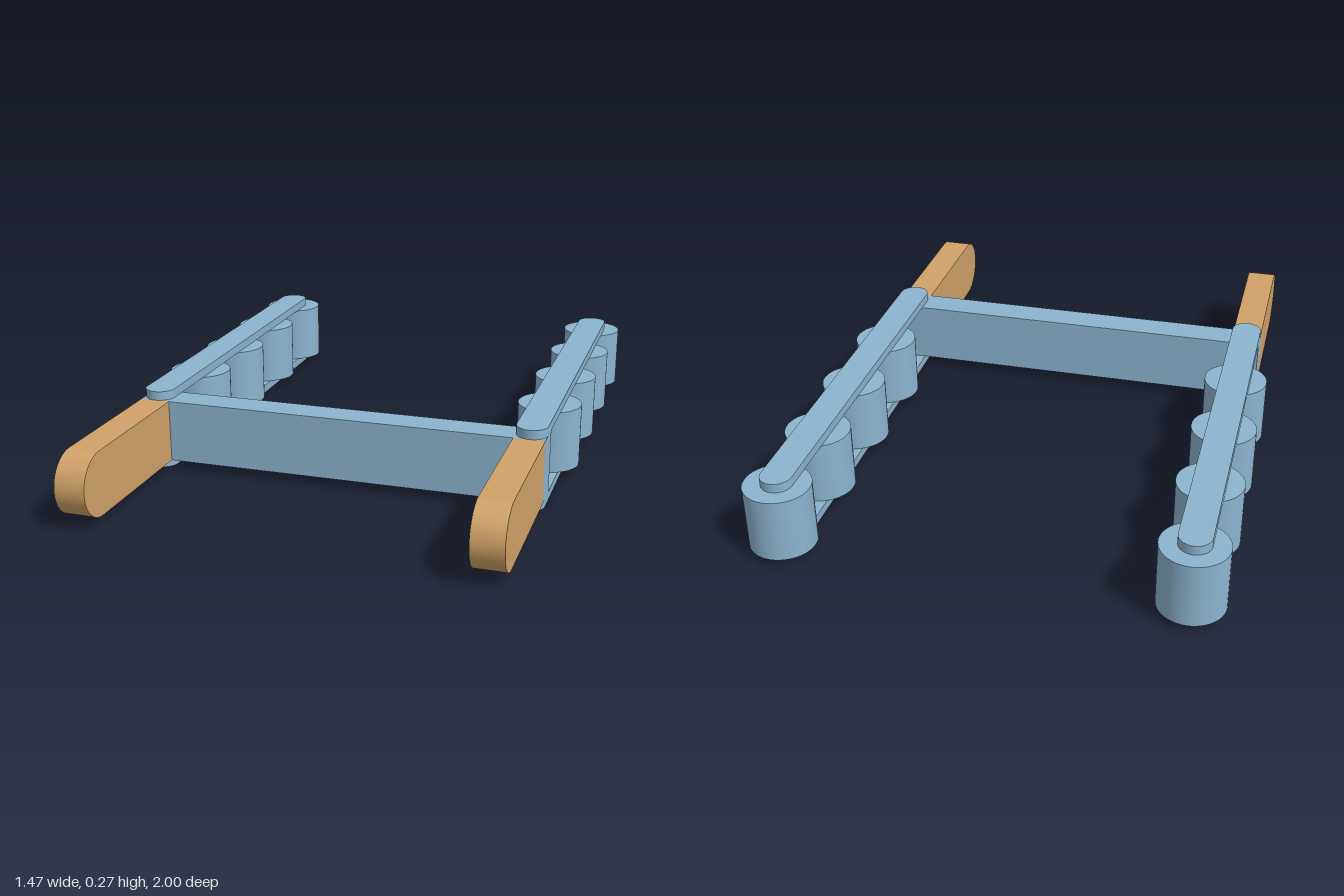
import * as THREE from 'three';

const RAIL_X = 0.63, LOW = 0.03, HIGH = 0.238, HEIGHT = HIGH - LOW, MID = (LOW + HIGH) / 2;

export function createModel() {
  const model = new THREE.Group();
  const blue = new THREE.MeshStandardMaterial({ color: 0x8cb4d0 });
  const tan = new THREE.MeshStandardMaterial({ color: 0xd0a268 });

  const add = (parent, name, geometry, material, x, y, z) => {
    const mesh = new THREE.Mesh(geometry, material);
    mesh.name = name;
    mesh.position.set(x, y, z);
    parent.add(mesh);
    return mesh;
  };

  // Crossbar joining both sides
  add(model, 'crossbar', new THREE.BoxGeometry(1.36, HEIGHT, 0.105), blue, 0, MID, 0.3675);

  // Flat strip with rounded ends, drawn in x/-z and laid flat
  const r = 0.05, front = 0.42, back = -0.945;
  const strip = new THREE.Shape();
  strip.absarc(0, -front + r, r, Math.PI, Math.PI * 2);
  strip.absarc(0, -back - r, r, 0, Math.PI);
  strip.closePath();
  const stripGeometry = new THREE.ExtrudeGeometry(strip, { depth: LOW, bevelEnabled: false, curveSegments: 24 });
  stripGeometry.rotateX(-Math.PI / 2);

  // Handle with a rounded tip, drawn in z/y and extruded across x
  const tip = HEIGHT / 2;
  const grip = new THREE.Shape();
  grip.moveTo(0.42, -tip);
  grip.lineTo(1 - tip, -tip);
  grip.absarc(1 - tip, 0, tip, -Math.PI / 2, Math.PI / 2);
  grip.lineTo(0.42, tip);
  grip.closePath();
  const gripGeometry = new THREE.ExtrudeGeometry(grip, { depth: 0.1, bevelEnabled: false, curveSegments: 32 });
  gripGeometry.translate(0, 0, -0.05).rotateY(-Math.PI / 2);

  const rollerGeometry = new THREE.CylinderGeometry(0.105, 0.105, HEIGHT, 48);

  for (const side of [-1, 1]) {
    const arm = new THREE.Group();
    arm.name = side > 0 ? 'leftArm' : 'rightArm';
    arm.position.x = side * RAIL_X;
    model.add(arm);

    add(arm, 'handle', gripGeometry, tan, 0, MID, 0);
    add(arm, 'lowerStrip', stripGeometry, blue, 0, 0, 0);
    add(arm, 'upperStrip', stripGeometry, blue, 0, HIGH, 0);

    // Four upright rollers held between the strips
    for (let i = 0; i < 4; i++) {
      add(arm, 'roller', rollerGeometry, blue, 0, MID, -0.895 + i * 0.316);
    }
  }
  return model;
}
